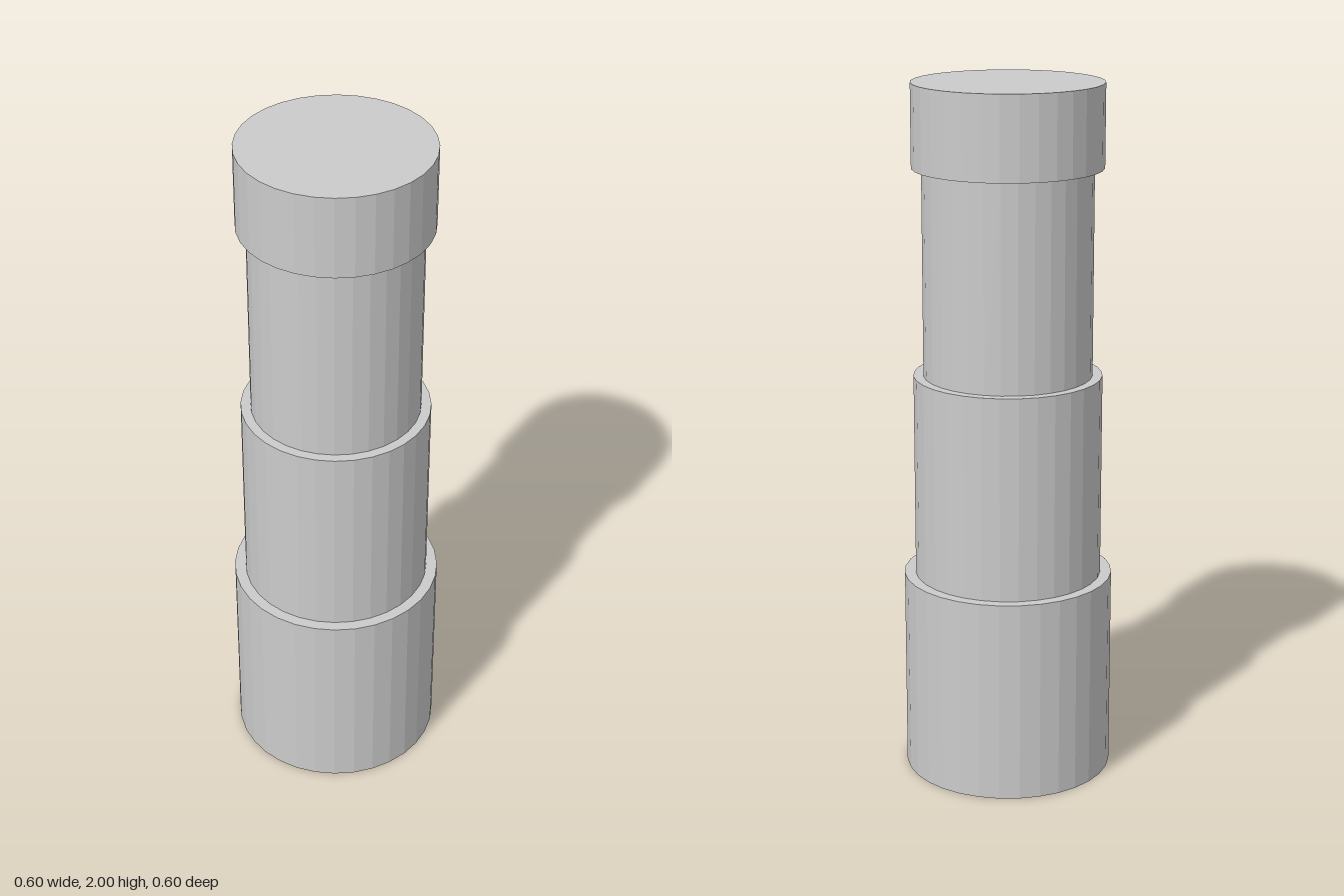
import * as THREE from 'three';

export function createModel() {
  const model = new THREE.Group();
  model.name = 'telescopingColumn';
  const material = new THREE.MeshStandardMaterial({ color: 0xcccccc, flatShading: true });

  // Stacked sections from the ground up: name, radius, bottom, top
  const sections = [
    ['baseSection', 0.3, 0, 0.588],
    ['middleSection', 0.268, 0.588, 1.176],
    ['upperSection', 0.24, 1.176, 1.765],
    ['topCap', 0.268, 1.765, 2],
  ];
  for (const [name, radius, bottom, top] of sections) {
    const geometry = new THREE.CylinderGeometry(radius, radius, top - bottom, 32);
    const section = new THREE.Mesh(geometry, material);
    section.name = name;
    section.position.y = (bottom + top) / 2;
    model.add(section);
  }
  return model;
}
